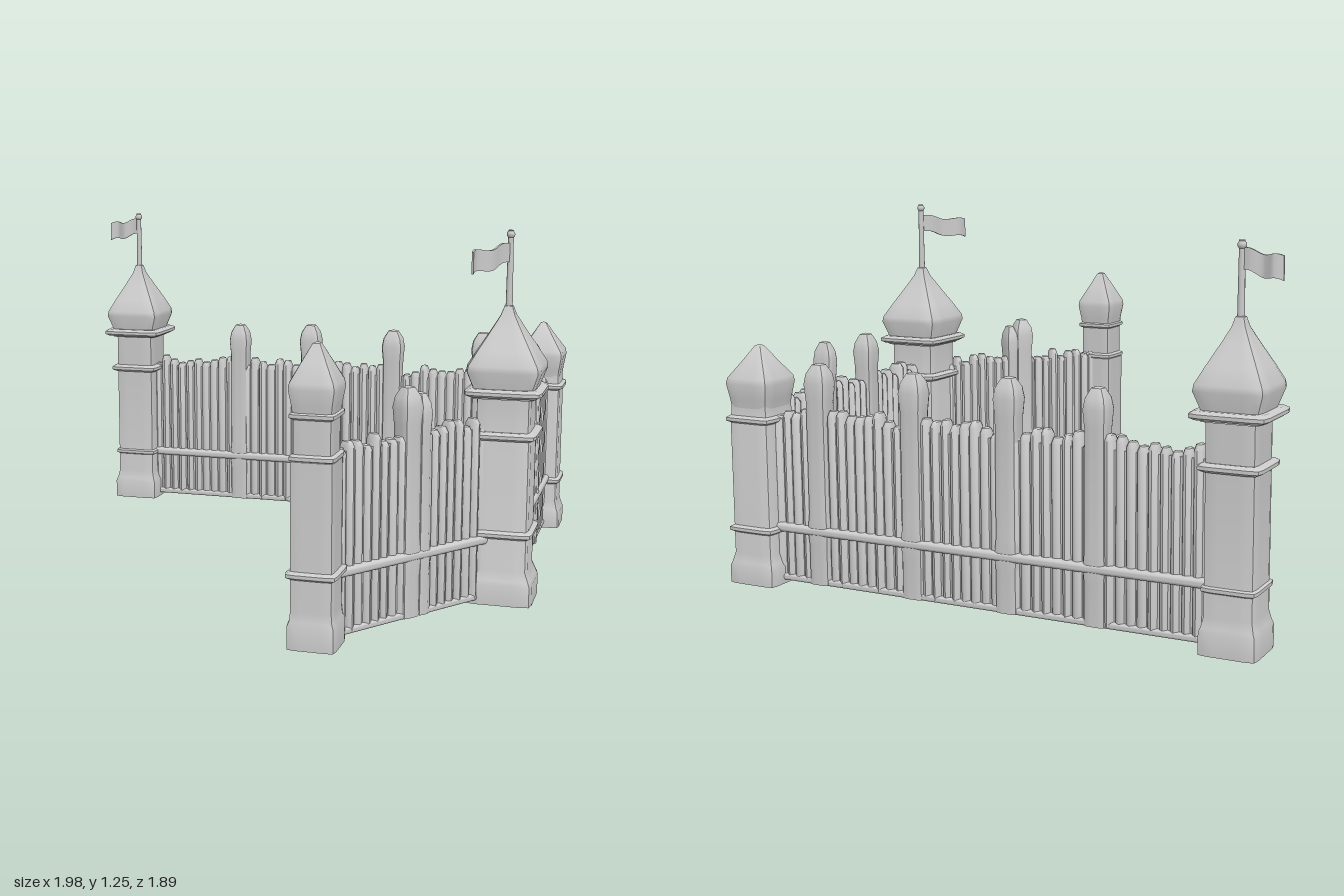
import * as THREE from 'three';
import { mergeGeometries, toCreasedNormals } from 'three/addons/utils/BufferGeometryUtils.js';
import { RoundedBoxGeometry } from 'three/addons/geometries/RoundedBoxGeometry.js';

const grey = new THREE.MeshStandardMaterial({ color: 0xcccccc });
const cloth = new THREE.MeshStandardMaterial({ color: 0xcccccc, side: THREE.DoubleSide });

function seeded(seed) {
  return () => (seed = (seed * 16807) % 2147483647) / 2147483647;
}

function add(parent, name, geometry, x = 0, y = 0, z = 0, material = grey) {
  const mesh = new THREE.Mesh(geometry, material);
  mesh.name = name;
  mesh.position.set(x, y, z);
  parent.add(mesh);
  return mesh;
}

// Turned profile of [half width, height] pairs, squared off to a slightly rounded section
function squareLathe(profile, power = 12, segments = 32) {
  const g = new THREE.LatheGeometry(profile.map(([r, y]) => new THREE.Vector2(r, y)), segments);
  const p = g.attributes.position;
  for (let i = 0; i < p.count; i++) {
    const x = p.getX(i), z = p.getZ(i), r = Math.hypot(x, z);
    if (r < 1e-6) continue;
    const k = Math.pow(Math.pow(Math.abs(x / r), power) + Math.pow(Math.abs(z / r), power), -1 / power);
    p.setXYZ(i, x * k, p.getY(i), z * k);
  }
  return toCreasedNormals(g, 0.6);
}

// Soft projecting band around a tower
function band(w, y, h = 0.014) {
  return squareLathe([[0, y - h], [w - 0.014, y - h], [w, y - h * 0.4], [w, y + h * 0.4], [w - 0.014, y + h], [0, y + h]]);
}

// Tower: base block, shaft, bands and a bulging pyramid roof
function tower({ name, x, z, base, baseTop, shaft, neck, bands, eaves, roof, pole, flag }) {
  const t = new THREE.Group();
  t.name = name;
  t.position.set(x, 0, z);
  add(t, 'shaft', squareLathe([
    [0, 0], [base, 0], [base, baseTop - 0.015], [base - 0.006, baseTop], [shaft, baseTop + 0.03],
    [shaft, neck.from], [neck.w, neck.from + 0.01], [neck.w, eaves], [0, eaves],
  ]));
  bands.forEach(([w, y]) => add(t, 'band', band(w, y)));
  add(t, 'roof', squareLathe(roof, 9));
  if (pole) {
    add(t, 'flagPole', new THREE.CylinderGeometry(0.009, 0.012, pole - 0.96, 12), 0, (pole + 0.96) / 2, 0);
    add(t, 'poleTip', new THREE.SphereGeometry(0.014, 12, 8), 0, pole - 0.014, 0);
    // Rippled pennant
    const g = new THREE.BoxGeometry(flag.length, 0.062, 0.008, 16, 3, 1);
    g.translate(flag.length / 2, 0, 0);
    const p = g.attributes.position;
    for (let i = 0; i < p.count; i++) {
      const s = p.getX(i) / flag.length;
      p.setY(i, p.getY(i) * (1 + 0.15 * s) - 0.025 * s + 0.006 * Math.sin(s * 9));
      p.setZ(i, p.getZ(i) + 0.012 * Math.sin(s * 10) * s);
    }
    add(t, 'flag', toCreasedNormals(g, 0.7), 0, flag.y, 0, cloth).rotation.y = flag.turn;
  }
  return t;
}

// Palisade from a to b, with posts given as [distance along, half width, height]
function palisade(name, a, b, top, railY, posts, seed) {
  const rnd = seeded(seed);
  const dx = b[0] - a[0], dz = b[1] - a[1], length = Math.hypot(dx, dz);
  const f = new THREE.Group();
  f.name = name;
  f.position.set(a[0], 0, a[1]);
  f.rotation.y = Math.atan2(-dz, dx);
  // Rounded planks of uneven height and width
  const count = Math.round(length / 0.036), step = length / count, planks = [];
  for (let i = 0; i < count; i++) {
    const h = top - 0.025 + rnd() * 0.04, r = 0.5 * step * (0.95 + rnd() * 0.2);
    const g = new THREE.LatheGeometry([[0, 0.02], [1, 0.02], [1, h - 0.02], [0.65, h - 0.003], [0, h]]
      .map(([u, y]) => new THREE.Vector2(u, y)), 10);
    g.scale(r, 1, 0.027 + rnd() * 0.004);
    g.translate((i + 0.5) * step, 0, (rnd() - 0.5) * 0.004);
    planks.push(toCreasedNormals(g, 0.9));
  }
  add(f, 'planks', mergeGeometries(planks));
  add(f, 'core', new THREE.BoxGeometry(length, top - 0.05, 0.03), length / 2, (top - 0.05) / 2 + 0.015, 0);
  add(f, 'sill', new RoundedBoxGeometry(length, 0.022, 0.06, 2, 0.008), length / 2, 0.024, 0);
  add(f, 'rail', new RoundedBoxGeometry(length, 0.03, 0.084, 3, 0.012), length / 2, railY, 0);
  // Taller posts with blunt tips
  for (const [s, w, h] of posts) {
    const post = add(f, 'post', squareLathe([
      [0, 0.015], [w * 0.9, 0.015], [w * 0.9, 0.15], [w, railY], [w * 0.88, railY + 0.06],
      [w * 0.88, h - 0.13], [w, h - 0.07], [w * 0.85, h - 0.035], [w * 0.45, h - 0.005], [0, h],
    ], 5, 24), s, 0, 0);
    post.scale.z = 0.04 / w;
  }
  return f;
}

export function createModel() {
  const model = new THREE.Group();
  model.name = 'palisadeWithTowers';

  // Roof shared by the two flagged towers
  const tallRoof = (w) => [[0, 0.7], [w - 0.02, 0.7], [w - 0.02, 0.735], [w, 0.79], [w - 0.003, 0.81],
    [w * 0.74, 0.86], [w * 0.44, 0.92], [w * 0.2, 0.97], [0.014, 1.0], [0, 1.005]];

  model.add(
    tower({
      name: 'backRightTower', x: -0.865, z: -0.825, base: 0.093, baseTop: 0.085, shaft: 0.08,
      neck: { from: 0.56, w: 0.08 }, eaves: 0.71, bands: [[0.1, 0.565], [0.122, 0.72], [0.088, 0.2]],
      roof: tallRoof(0.115), pole: 1.22, flag: { length: 0.125, y: 1.165, turn: Math.PI },
    }),
    tower({
      name: 'middleLeftTower', x: 0.865, z: 0.213, base: 0.112, baseTop: 0.085, shaft: 0.093,
      neck: { from: 0.57, w: 0.09 }, eaves: 0.71, bands: [[0.113, 0.575], [0.128, 0.72], [0.108, 0.24]],
      roof: tallRoof(0.125), pole: 1.25, flag: { length: 0.2, y: 1.175, turn: Math.atan2(-0.17, -0.1) },
    }),
    tower({
      name: 'backLeftTower', x: 0.86, z: -0.828, base: 0.092, baseTop: 0.075, shaft: 0.078,
      neck: { from: 0.58, w: 0.075 }, eaves: 0.63, bands: [[0.09, 0.57], [0.09, 0.19]],
      roof: [[0, 0.61], [0.075, 0.61], [0.079, 0.64], [0.088, 0.69], [0.084, 0.71], [0.045, 0.765], [0.012, 0.815], [0, 0.82]],
    }),
    tower({
      name: 'frontTower', x: 0.385, z: 0.865, base: 0.078, baseTop: 0.09, shaft: 0.069,
      neck: { from: 0.59, w: 0.062 }, eaves: 0.74, bands: [[0.073, 0.6], [0.082, 0.235], [0.073, 0.73]],
      roof: [[0, 0.72], [0.064, 0.72], [0.068, 0.76], [0.077, 0.81], [0.074, 0.83], [0.042, 0.89], [0.012, 0.945], [0, 0.95]],
    }),
    palisade('backFence', [-0.8, -0.825], [0.8, -0.825], 0.61, 0.2,
      [[0.39, 0.042, 0.765], [0.7, 0.044, 0.775], [1.05, 0.044, 0.765], [1.42, 0.044, 0.77]], 11),
    palisade('sideFence', [0.865, -0.77], [0.865, 0.14], 0.63, 0.2,
      [[0.32, 0.028, 0.785], [0.58, 0.04, 0.785]], 23),
    palisade('frontFence', [0.8, 0.27], [0.4, 0.83], 0.635, 0.22,
      [[0.345, 0.04, 0.775], [0.29, 0.025, 0.75]], 37),
  );
  return model;
}
